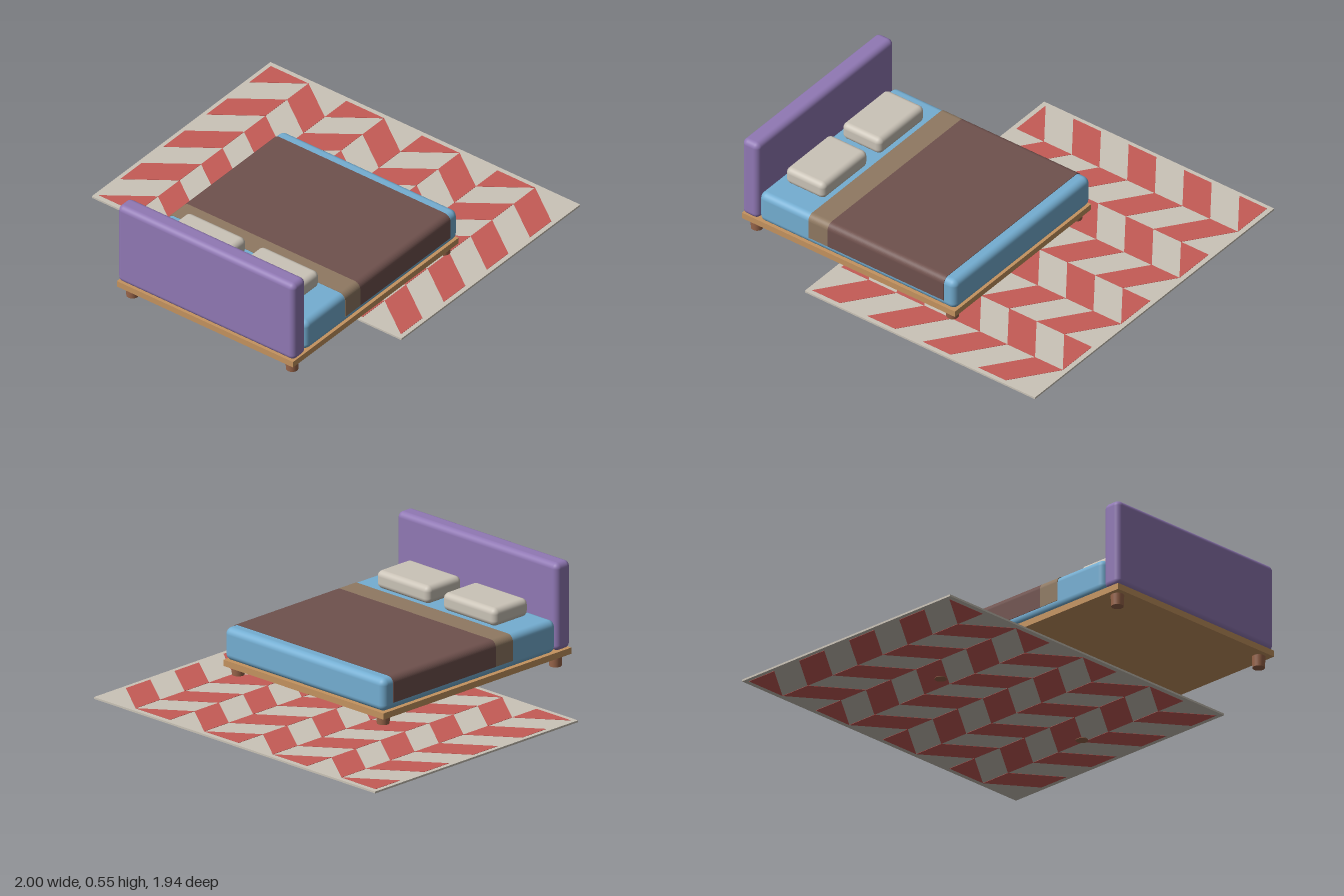
import * as THREE from 'three';
import { RoundedBoxGeometry } from 'three/addons/geometries/RoundedBoxGeometry.js';

const COLORS = {
  wood: 0xc4935f, leg: 0x99654a, blue: 0x74aed2, purple: 0x9078b4,
  linen: 0xcac3b7, tan: 0x8f7962, brown: 0x6f514d, red: 0xc55b56,
};

export function createModel() {
  const root = new THREE.Group();
  root.name = 'bedWithRug';

  const add = (name, geometry, color, x = 0, y = 0, z = 0) => {
    const mesh = new THREE.Mesh(geometry, new THREE.MeshStandardMaterial({ color }));
    mesh.name = name;
    mesh.position.set(x, y, z);
    root.add(mesh);
    return mesh;
  };
  // Box given by its [min, max] ranges, rounded when a radius is passed
  const box = (name, [x0, x1], [y0, y1], [z0, z1], color, radius = 0) => {
    const size = [x1 - x0, y1 - y0, z1 - z0];
    const geometry = radius
      ? new RoundedBoxGeometry(...size, 5, radius)
      : new THREE.BoxGeometry(...size);
    return add(name, geometry, color, (x0 + x1) / 2, (y0 + y1) / 2, (z0 + z1) / 2);
  };

  // Bed
  const bedZ = [-0.367, 0.737];
  box('bedFrame', [-1, 0.325], [0.06, 0.093], bedZ, COLORS.wood);
  box('headboard', [-1, -0.897], [0.093, 0.553], [-0.367, 0.741], COLORS.purple, 0.03);
  box('mattress', [-0.897, 0.325], [0.093, 0.265], bedZ, COLORS.blue, 0.035);
  for (const z of [[-0.23, 0.138], [0.23, 0.595]]) {
    box('pillow', [-0.843, -0.6], [0.264, 0.358], z, COLORS.linen, 0.03);
  }
  for (const x of [-0.943, 0.272]) {
    for (const z of [-0.313, 0.687]) {
      add('leg', new THREE.CylinderGeometry(0.034, 0.031, 0.062, 24), COLORS.leg, x, 0.031, z);
    }
  }

  // Blanket: an upside-down U over the mattress, extruded along x
  const drape = (name, x0, x1, color) => {
    const half = 0.5545, top = 0.2675, hem = 0.132, r = 0.036, t = 0.012;
    const shape = new THREE.Shape();
    shape.moveTo(-half, hem);
    shape.lineTo(-half, top - r);
    shape.absarc(-half + r, top - r, r, Math.PI, Math.PI / 2, true);
    shape.lineTo(half - r, top);
    shape.absarc(half - r, top - r, r, Math.PI / 2, 0, true);
    shape.lineTo(half, hem);
    shape.lineTo(half - t, hem);
    shape.lineTo(half - t, top - r);
    shape.lineTo(half - r, top - t);
    shape.lineTo(-half + r, top - t);
    shape.lineTo(-half + t, top - r);
    shape.lineTo(-half + t, hem);
    shape.closePath();
    const geometry = new THREE.ExtrudeGeometry(shape, {
      depth: x1 - x0, bevelEnabled: false, curveSegments: 8,
    });
    geometry.rotateY(Math.PI / 2);
    add(name, geometry, color, x0, 0, (bedZ[0] + bedZ[1]) / 2);
  };
  drape('blanketFold', -0.585, -0.465, COLORS.tan);
  drape('blanket', -0.465, 0.257, COLORS.brown);

  // Rug
  box('rug', [-0.43, 1], [0.004, 0.014], [-0.97, 0.97], COLORS.linen);

  // Chevron tiles: rows lean alternately, cut off at the pattern's sides
  const left = -0.403, step = 0.172, rows = 8, cols = 8, rowZ = -0.947, rowDepth = 0.2365;
  const tiles = [];
  for (let row = 0; row < rows; row++) {
    const lean = row % 2 ? -1 : 1;
    for (let c = -1; c < cols; c += 2) {
      let corners = [[c, 0], [c + 1, 0], [c + 1 + lean, 1], [c + lean, 1]];
      if (c < 0) {
        if (lean < 0) continue;
        corners = [[0, 0], [1, 1], [0, 1]];
      } else if (c + 1 + lean > cols) {
        corners = [[c, 0], [c + 1, 0], [c + 1, 1]];
      }
      tiles.push(new THREE.Shape(corners.map(([u, v]) =>
        new THREE.Vector2(left + u * step, -(rowZ + (row + v) * rowDepth)))));
    }
  }
  const pattern = new THREE.ExtrudeGeometry(tiles, { depth: 0.013, bevelEnabled: false });
  pattern.rotateX(-Math.PI / 2);
  add('rugPattern', pattern, COLORS.red, 0, 0.0025, 0);

  return root;
}
